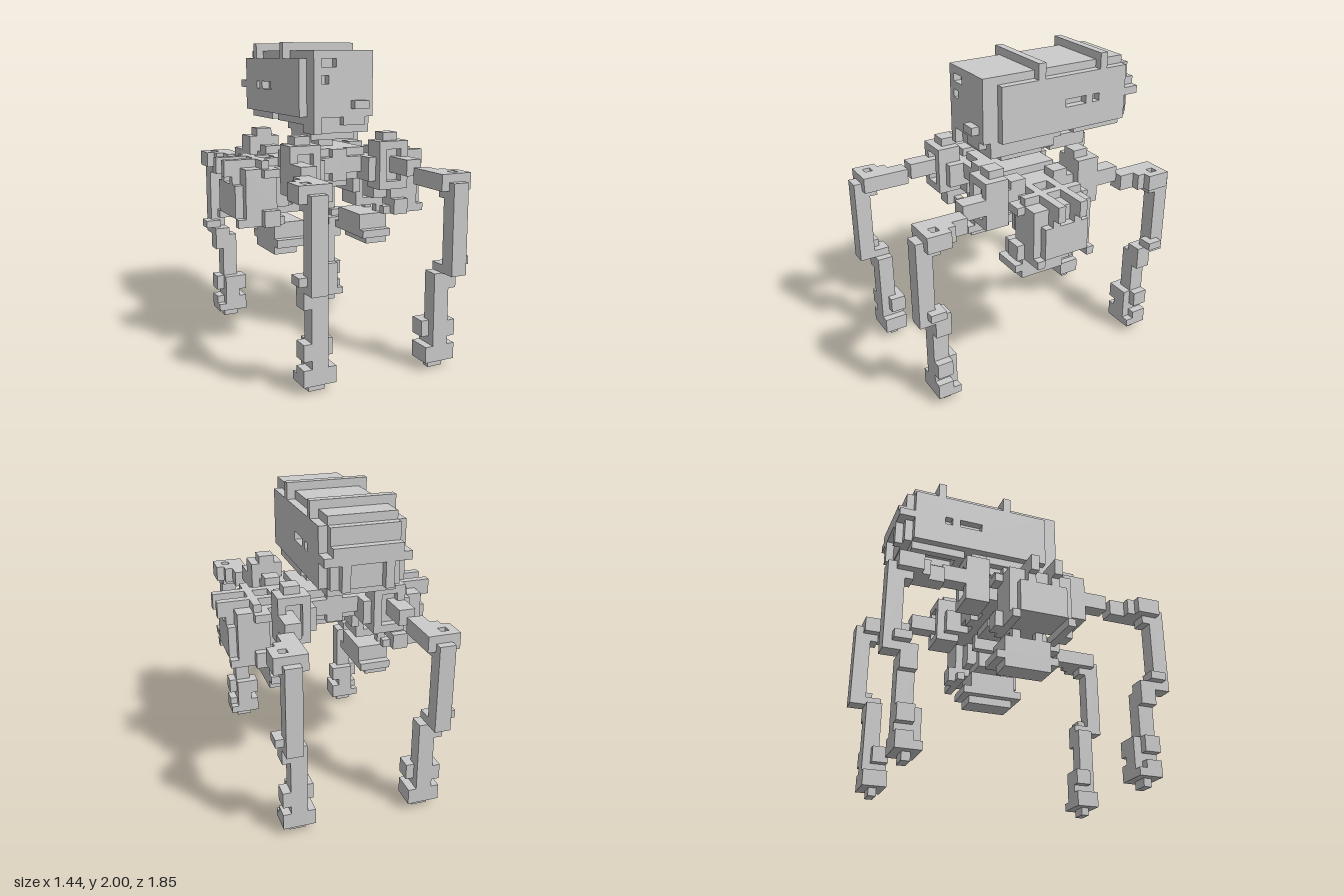
import * as THREE from 'three';

const U = 2 / 39; // size of one block; all numbers below are in blocks
const mat = new THREE.MeshStandardMaterial({ color: 0xcccccc, flatShading: true });

// Box from min / max corners
function box(parent, name, x0, x1, y0, y1, z0, z1) {
  const mesh = new THREE.Mesh(new THREE.BoxGeometry(x1 - x0, y1 - y0, z1 - z0), mat);
  mesh.position.set((x0 + x1) / 2, (y0 + y1) / 2, (z0 + z1) / 2);
  mesh.name = name;
  parent.add(mesh);
}

// One-block-thick plate with rectangular holes, each given as [a0, a1, b0, b1]
function plate(parent, name, [a0, a1, b0, b1], holes) {
  const loop = (Type, l, r, b, t) => new Type([[l, b], [r, b], [r, t], [l, t]].map(p => new THREE.Vector2(...p)));
  const shape = loop(THREE.Shape, a0, a1, b0, b1);
  for (const h of holes) shape.holes.push(loop(THREE.Path, ...h));
  const mesh = new THREE.Mesh(new THREE.ExtrudeGeometry(shape, { depth: 1, bevelEnabled: false }), mat);
  mesh.name = name;
  parent.add(mesh);
  return mesh;
}

function makeHead() {
  const g = new THREE.Group();
  g.name = 'head';
  box(g, 'headCore', -4, 4, 30, 38, -14, 5);
  plate(g, 'facePlate', [-4, 4, 30, 38], [[-3, -1, 36, 37], [-3, -2, 34, 35]]).position.z = 5;
  // slotted side armour and rear columns
  for (const s of [1, -1]) {
    const p = plate(g, 'sidePlate', [-4, 14, 30, 37], [[5, 8, 33, 34], [9, 10, 33, 34]]);
    p.rotation.y = Math.PI / 2;
    p.position.x = s > 0 ? 4 : -5;
    box(g, 'rearColumn', s * 2.5 - 0.5, s * 2.5 + 0.5, 30, 33, -16, -15);
  }
  // roof bands
  for (const z of [-2, -11]) box(g, 'roofBand', -5, 5, 37, 39, z, z + 1);
  // back of the head
  box(g, 'rearPanel', -4, 4, 30, 37, -15, -14);
  box(g, 'rearBar', -5, 5, 33, 34, -16, -14);
  box(g, 'rearBrow', -4, 4, 34, 35, -16, -15);
  // slotted underside behind the chin
  const belly = plate(g, 'rearBelly', [-4, 4, 7, 14], [[-3, -1, 8, 13], [1, 3, 8, 13]]);
  belly.rotation.x = -Math.PI / 2;
  belly.position.y = 29;
  // nose, chin and neck
  box(g, 'nose', 1, 3, 31, 32, 6, 7);
  box(g, 'chin', -4, 4, 29, 30, -5, 5);
  box(g, 'lip', 0, 3, 29, 30, 5, 6);
  box(g, 'jaw', -3, 4, 28, 29, -4, 5);
  box(g, 'jawCorner', -4, -3, 28, 30, 3, 6);
  box(g, 'collar', -3, 3, 27, 28, -3, 3);
  box(g, 'neck', -1, 1, 26, 27, -1, 1);
  return g;
}

function makeTorso() {
  const g = new THREE.Group();
  g.name = 'torso';
  box(g, 'torsoBlock', -4, 4, 22, 26, -4, 4);
  box(g, 'spine', -1, 1, 22, 26, -5, 5);
  box(g, 'bellyPlate', -2, 2, 21, 22, -3, 3);
  for (const s of [-1, 1]) box(g, 'torsoRib', -4, 4, 23, 25, s * 4.5 - 0.5, s * 4.5 + 0.5);
  return g;
}

// One leg, modelled for +x and +z
function makeLeg() {
  const g = new THREE.Group();
  g.name = 'leg';
  // shoulder frame
  box(g, 'shoulderBlock', 4, 7, 22, 26, 5, 7);
  box(g, 'shoulderStrap', 3, 4, 22, 25, 4, 7);
  box(g, 'shoulderTop', 4, 8, 26, 27, 5, 8);
  box(g, 'shoulderFoot', 4, 8, 21, 22, 5, 8);
  box(g, 'shoulderInner', 4, 5, 22, 26, 7, 8);
  box(g, 'shoulderOuter', 7, 8, 22, 26, 5, 8);
  box(g, 'shoulderKnob', 5, 7, 27, 28, 5, 7);
  // arm
  box(g, 'innerArm', 6, 8, 23, 25, 6, 11);
  box(g, 'outerArm', 7, 9, 22, 24, 11, 15);
  // hip cap with a socket in the top
  box(g, 'hipBlock', 7, 11, 22, 23, 14, 17);
  const cap = plate(g, 'hipCap', [7, 11, -17, -14], [[9, 10, -16, -15]]);
  cap.rotation.x = -Math.PI / 2;
  cap.position.y = 23;
  box(g, 'hipRidgeBack', 9, 10, 22, 24, 13, 14);
  box(g, 'hipSkirt', 8, 10, 21, 22, 15, 17);
  // upper leg, knee, lower leg
  box(g, 'upperLeg', 8, 10, 12, 23, 16, 18);
  box(g, 'kneeCap', 9, 11, 13, 14, 15, 17);
  box(g, 'knee', 8, 10, 12, 13, 14, 17);
  box(g, 'kneeCollar', 7, 10, 10, 12, 14, 16);
  box(g, 'lowerLeg', 7, 9, 1, 12, 14, 16);
  // ankle and foot
  box(g, 'ankleInner', 6, 7, 4, 6, 13, 15);
  box(g, 'ankleOuter', 9, 10, 4, 6, 14, 16);
  box(g, 'heelGuard', 7, 9, 2, 6, 13, 14);
  box(g, 'foot', 6, 10, 1, 2, 13, 16);
  box(g, 'footInner', 6, 7, 2, 3, 13, 16);
  box(g, 'footOuter', 9, 10, 2, 3, 14, 16);
  box(g, 'sole', 7, 9, 0, 1, 14, 15);
  return g;
}

// Side pod with the hanging pack beneath, modelled for +x
function makePod() {
  const g = new THREE.Group();
  g.name = 'sidePod';
  box(g, 'sideBeam', 4, 7, 22, 25, -5, 5);
  box(g, 'podAxle', 6, 8, 19, 24, -3, 3);
  box(g, 'podCore', 8, 12, 18, 24, -4, 4);
  box(g, 'podOuterPanel', 12, 13, 18, 22, -3, 3);
  box(g, 'podCrossbar', 8, 10, 23, 24, -5, 5);
  box(g, 'podCrossbarTop', 9, 10, 24, 25, -4, 4);
  for (const s of [-1, 1]) {
    const slab = (name, x0, x1, y0, y1, z0, z1) =>
      box(g, name, x0, x1, y0, y1, Math.min(s * z0, s * z1), Math.max(s * z0, s * z1));
    slab('podRoofBar', 7, 14, 23, 25, 1, 2);
    slab('podRoofBarEnd', 12, 13, 22, 23, 1, 2);
    slab('podBase', 7, 13, 17, 18, 3, 4);
    slab('podTray', 8, 10, 17, 19, 4, 5);
    slab('beamPad', 5, 7, 25, 26, 2, 4);
    slab('packPost', 7, 8, 15, 19, 1, 2);
  }
  // inner strut
  box(g, 'strut', 4, 5, 18, 22, -2, 2);
  box(g, 'strutFoot', 5, 8, 18, 19, -2, 2);
  box(g, 'strutGusset', 3, 4, 20, 22, -3, 3);
  // hanging pack
  box(g, 'packBody', 4, 8, 15, 17, -3, 3);
  box(g, 'packFlange', 4, 8, 14, 15, -4, 4);
  box(g, 'packFoot', 5, 8, 13, 14, -3, 3);
  return g;
}

// Copy of a group mirrored in x and / or z
function mirrored(group, sx, sz, name) {
  const copy = group.clone();
  copy.name = name;
  for (const m of copy.children) {
    m.updateMatrix();
    m.geometry = m.geometry.clone().applyMatrix4(m.matrix).scale(sx, 1, sz);
    m.position.set(0, 0, 0);
    m.rotation.set(0, 0, 0);
    if (sx * sz < 0) {
      // restore outward-facing winding
      if (m.geometry.index) m.geometry = m.geometry.toNonIndexed();
      const p = m.geometry.attributes.position;
      const a = new THREE.Vector3(), b = new THREE.Vector3();
      for (let i = 0; i < p.count; i += 3) {
        a.fromBufferAttribute(p, i);
        b.fromBufferAttribute(p, i + 1);
        p.setXYZ(i, b.x, b.y, b.z);
        p.setXYZ(i + 1, a.x, a.y, a.z);
      }
      m.geometry.computeVertexNormals();
    }
  }
  return copy;
}

export function createModel() {
  const model = new THREE.Group();
  model.name = 'walkerRobot';
  model.add(makeHead(), makeTorso());
  const leg = makeLeg(), pod = makePod();
  for (const [sx, side] of [[1, 'left'], [-1, 'right']]) {
    model.add(mirrored(pod, sx, 1, side + 'SidePod'));
    model.add(mirrored(leg, sx, 1, side + 'FrontLeg'));
    model.add(mirrored(leg, sx, -1, side + 'BackLeg'));
  }
  model.scale.setScalar(U);
  return model;
}
